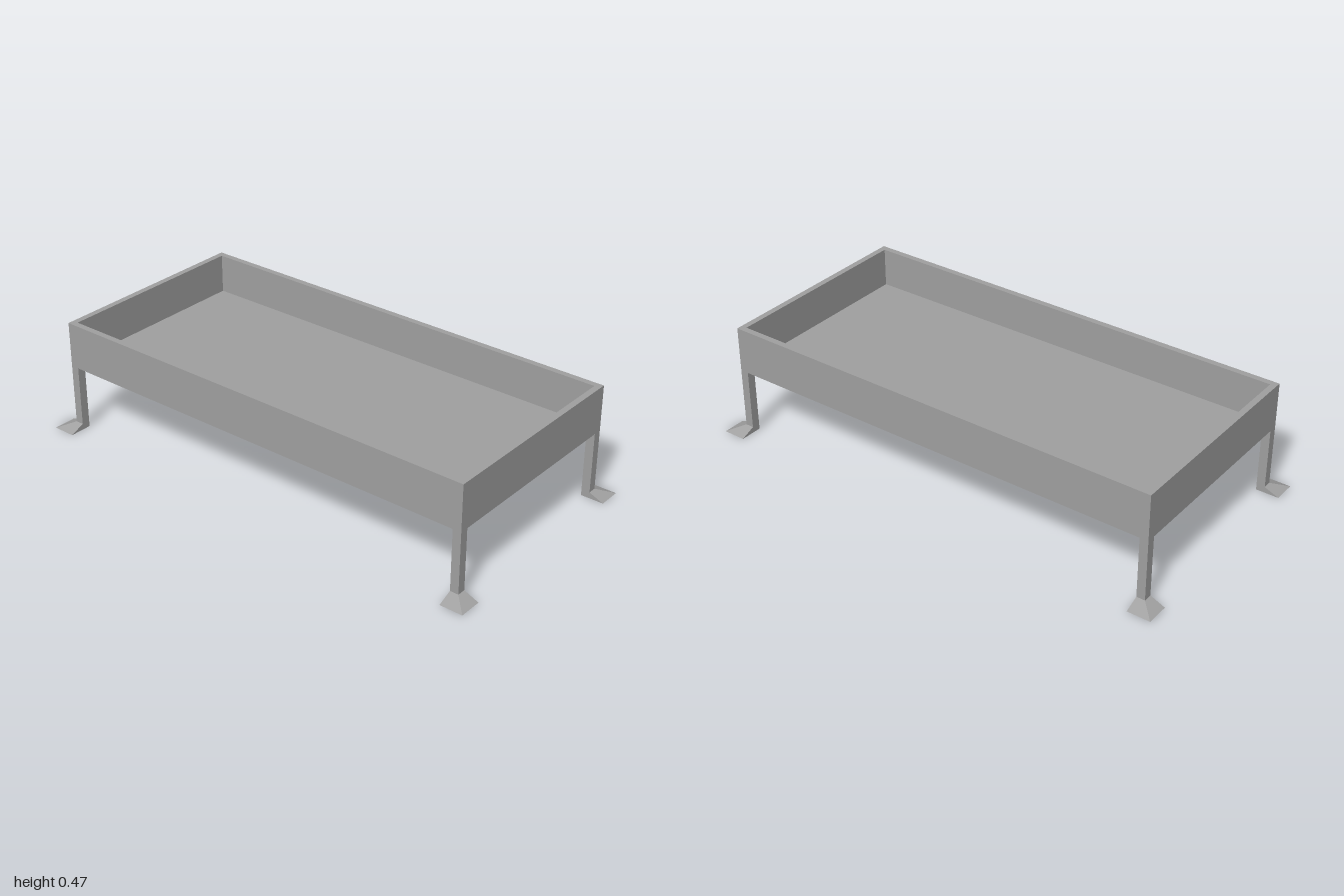
import * as THREE from 'three';

const W = 0.94, D = 0.44;            // tray half width and half depth
const BOTTOM = 0.277, TOP = 0.465;   // tray heights
const WALL = 0.025, LEG = 0.035, SPREAD = 0.06, FOOT = 0.025;

function box(name, w, h, d, x, y, z, material) {
  const mesh = new THREE.Mesh(new THREE.BoxGeometry(w, h, d), material);
  mesh.name = name;
  mesh.position.set(x, y, z);
  return mesh;
}

function rectangle(path, w, d) {
  path.moveTo(-w, -d);
  path.lineTo(w, -d);
  path.lineTo(w, d);
  path.lineTo(-w, d);
  path.closePath();
  return path;
}

// Foot block whose two outer sides flare out towards the ground
function footGeometry(sx, sz) {
  const geo = new THREE.BoxGeometry(LEG, FOOT, LEG);
  const p = geo.attributes.position;
  for (let i = 0; i < p.count; i++) {
    if (p.getY(i) > 0) continue;
    if (p.getX(i) * sx > 0) p.setX(i, p.getX(i) + sx * SPREAD);
    if (p.getZ(i) * sz > 0) p.setZ(i, p.getZ(i) + sz * SPREAD);
  }
  geo.computeVertexNormals();
  return geo;
}

export function createModel() {
  const group = new THREE.Group();
  group.name = 'trayTable';
  const grey = new THREE.MeshStandardMaterial({ color: 0xa0a0a0 });
  grey.name = 'grey';

  // Tray: a rectangular rim around a thin floor
  const shape = rectangle(new THREE.Shape(), W, D);
  shape.holes.push(rectangle(new THREE.Path(), W - WALL, D - WALL));
  const rimGeo = new THREE.ExtrudeGeometry(shape, { depth: TOP - BOTTOM, bevelEnabled: false });
  rimGeo.rotateX(-Math.PI / 2);
  const rim = new THREE.Mesh(rimGeo, grey);
  rim.name = 'trayWalls';
  rim.position.y = BOTTOM;
  group.add(rim);
  group.add(box('trayFloor', 2 * (W - WALL), WALL, 2 * (D - WALL), 0, BOTTOM + WALL / 2, 0, grey));

  // Four corner legs with flared feet
  for (const sx of [-1, 1]) {
    for (const sz of [-1, 1]) {
      const x = sx * (W - LEG / 2), z = sz * (D - LEG / 2);
      const h = BOTTOM - FOOT;
      const leg = new THREE.Group();
      leg.name = (sz > 0 ? 'front' : 'back') + (sx > 0 ? 'Left' : 'Right') + 'Leg';
      leg.add(box('post', LEG, h, LEG, x, FOOT + h / 2, z, grey));
      const foot = new THREE.Mesh(footGeometry(sx, sz), grey);
      foot.name = 'foot';
      foot.position.set(x, FOOT / 2, z);
      leg.add(foot);
      group.add(leg);
    }
  }
  return group;
}
